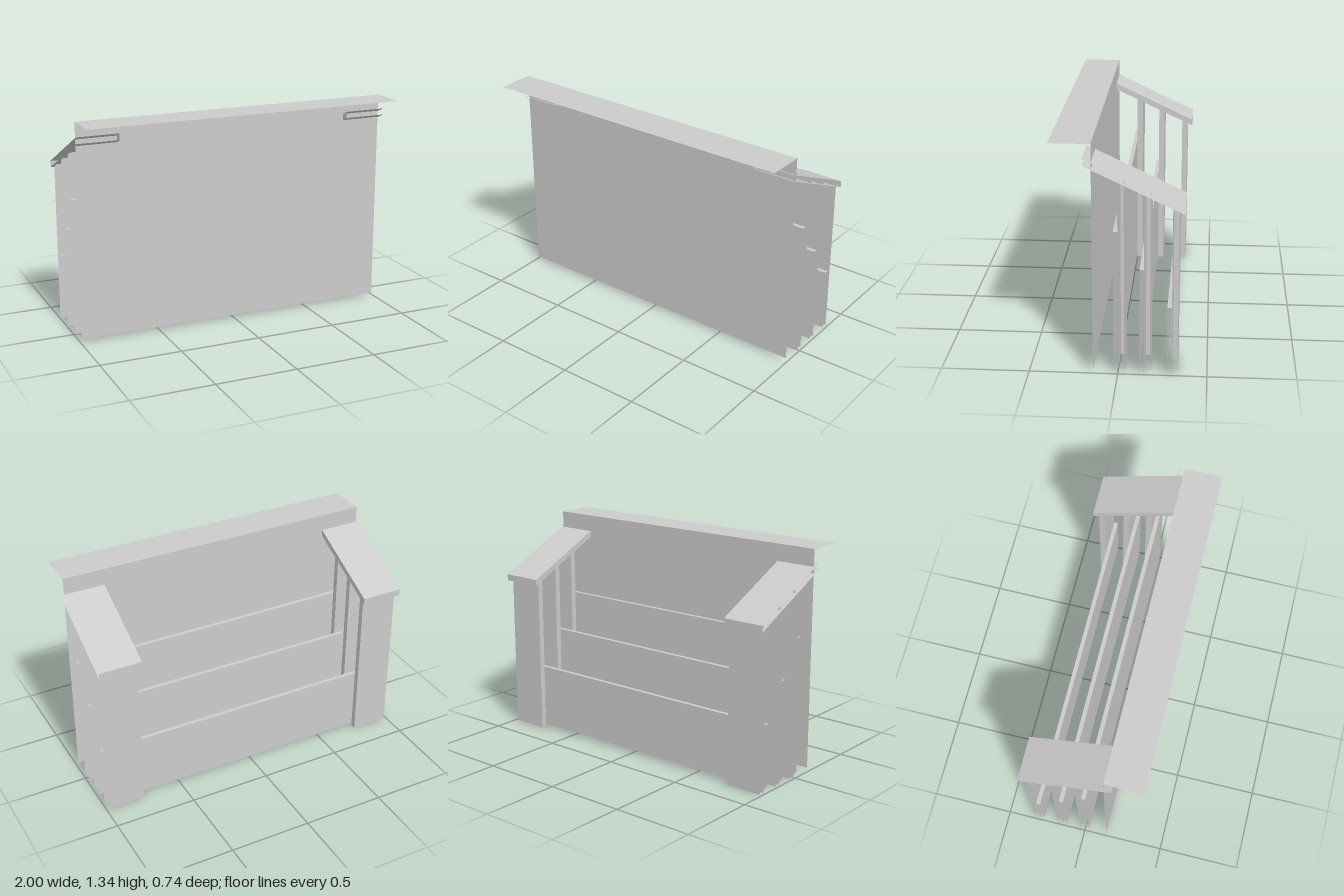
import * as THREE from 'three';

const material = new THREE.MeshStandardMaterial({ color: 0xcccccc, flatShading: true, side: THREE.DoubleSide });
const FACES = ['+x', '-x', '+y', '-y', '+z', '-z'];

// Thin-skinned box between two limits on each axis, keeping only the listed faces
function shell(name, [x0, x1], [y0, y1], [z0, z1], faces, slope = 0) {
  const geo = new THREE.BoxGeometry(x1 - x0, y1 - y0, z1 - z0);
  geo.translate((x0 + x1) / 2, (y0 + y1) / 2, (z0 + z1) / 2);
  const all = Array.from(geo.index.array);
  geo.setIndex(faces.flatMap((f) => {
    const start = FACES.indexOf(f) * 6;
    return all.slice(start, start + 6);
  }));
  geo.clearGroups();
  // Shear so that height rises with z
  const p = geo.attributes.position;
  for (let i = 0; i < p.count; i++) p.setY(i, p.getY(i) + slope * p.getZ(i));
  geo.computeVertexNormals();
  const mesh = new THREE.Mesh(geo, material);
  mesh.name = name;
  return mesh;
}

export function createModel() {
  const model = new THREE.Group();
  model.name = 'steppedDisplay';

  // Tall front sheet with its top folded forward
  model.add(shell('frontPanel', [-0.99, 0.99], [0.02, 1.34], [0.14, 0.37], ['-z', '+y']));

  // Three rows, each lower towards the back
  const rows = [
    { z: 0, wall: 0.85, post: 1.13 },
    { z: -0.145, wall: 0.63, post: 1.065 },
    { z: -0.3, wall: 0.41, post: 0.99 },
  ];
  for (const { z, wall } of rows) {
    model.add(shell('crossWall', [-0.99, 0.99], [0.02, wall], [z, z + 0.025], ['+z', '+y', '-z']));
  }

  // Channel posts and sloping caps, open on the outer side
  for (const s of [-1, 1]) {
    const side = new THREE.Group();
    side.name = s > 0 ? 'leftSide' : 'rightSide';
    const inner = s > 0 ? '-x' : '+x';
    const span = (a, b) => (s > 0 ? [a, b] : [-b, -a]);
    for (const { z, post } of rows) {
      side.add(shell('post', span(0.755, 0.985), [0, post], [z - 0.035, z], ['+z', '-z', inner]));
    }
    side.add(shell('slopingCap', span(0.74, 1), [1.132, 1.171], [-0.368, 0.187], ['+y', '-y', '-z', inner], 0.473));
    model.add(side);
  }
  return model;
}
